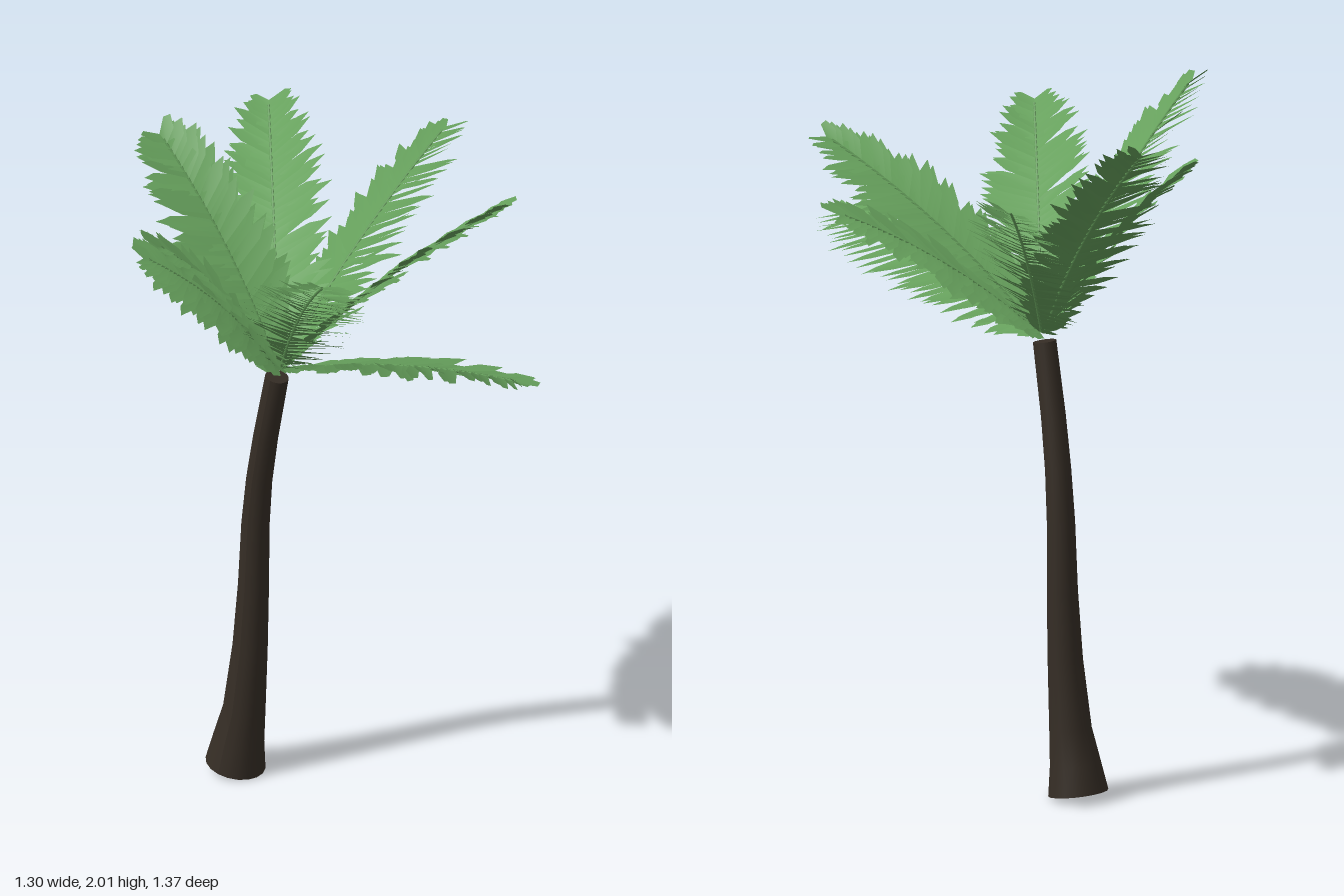
import * as THREE from 'three';

const leafMat = new THREE.MeshStandardMaterial({ color: 0x66a05c, side: THREE.DoubleSide });
const barkMat = new THREE.MeshStandardMaterial({ color: 0x352d25 });

// Small repeatable noise in -1..1
let seed = 7;
const noise = () => {
  seed = (seed * 16807) % 2147483647;
  return (seed / 2147483647) * 2 - 1;
};

// Trunk sections: x, y, z of the centre, radius, tilt of the ring
const trunkRings = [
  [-0.32, 0.015, 0.065, 0.085, 0.18],
  [-0.31, 0.1, 0.063, 0.072, 0.15],
  [-0.293, 0.2, 0.06, 0.06, 0.1],
  [-0.276, 0.4, 0.056, 0.05, 0.06],
  [-0.265, 0.6, 0.055, 0.044, 0.04],
  [-0.256, 0.8, 0.058, 0.04, 0.08],
  [-0.24, 0.95, 0.062, 0.037, 0.13],
  [-0.212, 1.1, 0.07, 0.035, 0.18],
  [-0.167, 1.31, 0.078, 0.033, 0.2],
];

// A unit cylinder whose rings are moved onto the leaning, flared sections
function makeTrunk() {
  const n = trunkRings.length - 1;
  const geo = new THREE.CylinderGeometry(1, 1, 1, 18, n);
  const p = geo.attributes.position;
  for (let i = 0; i < p.count; i++) {
    const [x, y, z, r, tilt] = trunkRings[Math.round((p.getY(i) + 0.5) * n)];
    const dx = p.getX(i) * r;
    p.setXYZ(i, x + dx, y - tilt * dx, z + p.getZ(i) * r);
  }
  geo.computeVertexNormals();
  const mesh = new THREE.Mesh(geo, barkMat);
  mesh.name = 'trunk';
  return mesh;
}

// Half width of a frond along its length
const widthCurve = [0.06, 0.12, 0.155, 0.17, 0.175, 0.172, 0.167, 0.158, 0.142, 0.115, 0.07];
function halfWidth(t) {
  const s = Math.min(t * 10, 9.999), i = Math.floor(s);
  return THREE.MathUtils.lerp(widthCurve[i], widthCurve[i + 1], s - i);
}

const crown = new THREE.Vector3(-0.165, 1.33, 0.07);
const roll = -0.35;

// A frond: a gently arched rib, rolled about its length, with overlapping leaflets
function makeFrond(tip) {
  const start = crown.clone().lerp(tip, 0.03);
  const dir = tip.clone().sub(crown).normalize();
  const side = new THREE.Vector3(0, 1, 0).cross(dir).normalize();
  const bend = start.clone().lerp(tip, 0.5).addScaledVector(dir.clone().cross(side), 0.06);
  const rib = new THREE.QuadraticBezierCurve3(start, bend, tip);
  side.applyAxisAngle(dir, roll);

  const count = 38, verts = [], index = [];
  for (let i = 0; i < count; i++) {
    const t = i / (count - 1);
    const root = rib.getPoint(t), along = rib.getTangent(t);
    const up = along.clone().cross(side).normalize();
    for (const s of [-1, 1]) {
      const len = halfWidth(t) * (1 + 0.13 * noise());
      const lean = 0.3 + 0.35 * t + 0.1 * noise();
      const out = side.clone().multiplyScalar(s * Math.cos(lean))
        .addScaledVector(along, Math.sin(lean))
        .addScaledVector(up, -0.04 + 0.12 * noise());
      // Offset from the root: distance outwards, along the rib, and upwards
      const corner = (d, a, u) => {
        const v = root.clone().addScaledVector(out, d * len)
          .addScaledVector(along, a).addScaledVector(up, u);
        verts.push(v.x, v.y, v.z);
      };
      const b = verts.length / 3;
      // The front edge dips under the next leaflet
      corner(0, -0.016, 0.004);
      corner(0, 0.018, -0.004);
      corner(0.68, 0.024, -0.009);
      corner(1, 0.006, 0);
      corner(0.68, -0.018, 0.009);
      // Both sides wind so that the normals point to the upper side
      for (const [p, q, r] of [[0, 1, 2], [0, 2, 4], [4, 2, 3]])
        index.push(b + p, ...(s > 0 ? [b + q, b + r] : [b + r, b + q]));
    }
  }
  const geo = new THREE.BufferGeometry();
  geo.setAttribute('position', new THREE.Float32BufferAttribute(verts, 3));
  geo.setIndex(index);
  geo.computeVertexNormals();
  const leaflets = new THREE.Mesh(geo, leafMat);
  leaflets.name = 'leaflets';
  const stem = new THREE.Mesh(new THREE.TubeGeometry(rib, 10, 0.004, 5), leafMat);
  stem.name = 'rib';
  const frond = new THREE.Group();
  frond.add(leaflets, stem);
  return frond;
}

// Tip of each frond's rib
const frondTips = [
  [0.62, 1.52, 0.025],
  [0.35, 1.86, -0.26],
  [-0.1, 1.81, -0.63],
  [-0.53, 1.86, -0.39],
  [-0.57, 1.94, 0.065],
  [-0.36, 1.78, 0.43],
  [-0.18, 1.96, 0.62],
  [0.22, 1.86, 0.4],
];

export function createModel() {
  const model = new THREE.Group();
  model.name = 'palmTree';
  model.add(makeTrunk());
  frondTips.forEach((tip, i) => {
    const frond = makeFrond(new THREE.Vector3(...tip));
    frond.name = `frond${i + 1}`;
    model.add(frond);
  });
  return model;
}
